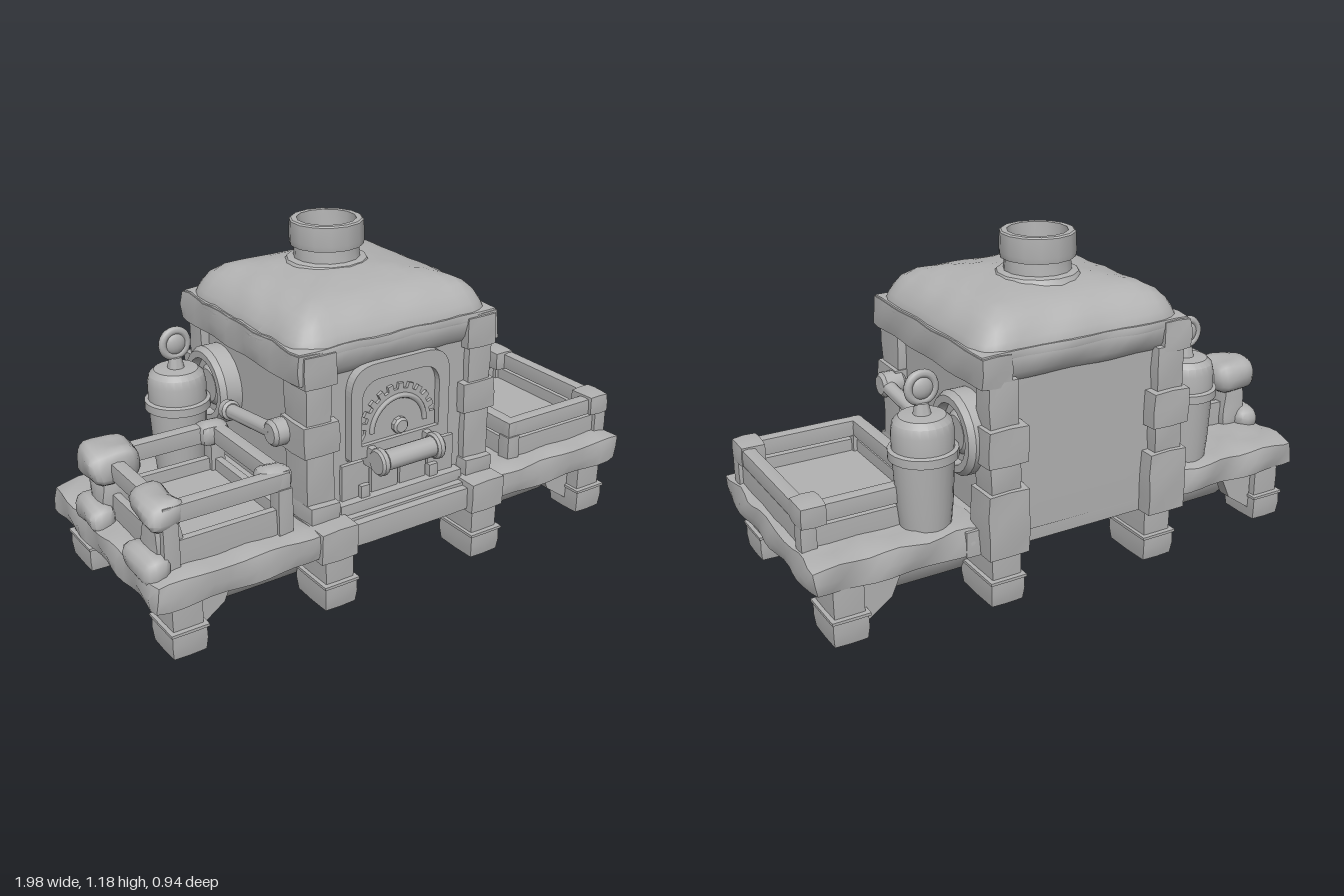
import * as THREE from 'three';
import { mergeVertices, toCreasedNormals } from 'three/addons/utils/BufferGeometryUtils.js';

const stone = new THREE.MeshStandardMaterial({ color: 0xb2b2b2 });
stone.name = 'plain grey';
stone.side = THREE.DoubleSide;

export function createModel() {
  const root = new THREE.Group();
  root.name = 'forge';

  const add = (name, geo, x = 0, y = 0, z = 0) => {
    const m = new THREE.Mesh(geo, stone);
    m.name = name;
    m.position.set(x, y, z);
    root.add(m);
    return m;
  };

  // Rounded, slightly wobbly block given by its limits
  function block(name, x0, x1, y0, y1, z0, z1, r = 0.012, wob = 0, seg = 0.09, shape) {
    const s = [x1 - x0, y1 - y0, z1 - z0];
    const n = s.map(v => Math.max(2, Math.min(18, Math.round(v / seg))));
    let g = new THREE.BoxGeometry(...s, ...n);
    g.deleteAttribute('uv');
    g.deleteAttribute('normal');
    g = mergeVertices(g, 1e-4);
    const p = g.attributes.position, v = new THREE.Vector3(), q = new THREE.Vector3();
    const lim = new THREE.Vector3(...s).multiplyScalar(0.5).subScalar(r).max(new THREE.Vector3());
    const c = [(x0 + x1) / 2, (y0 + y1) / 2, (z0 + z1) / 2];
    for (let i = 0; i < p.count; i++) {
      v.fromBufferAttribute(p, i);
      q.copy(v).clamp(lim.clone().negate(), lim);
      v.sub(q);
      if (v.lengthSq() > 0) v.setLength(r);
      v.add(q);
      const a = v.x + c[0], b = v.y + c[1], d = v.z + c[2];
      v.x += wob * Math.sin(23 * d + 31 * b + 1);
      v.y += wob * Math.sin(29 * a + 1) * Math.cos(33 * d) * (v.y > 0 ? 1 : 0.2);
      v.z += wob * Math.sin(21 * a + 29 * b + 2);
      if (shape) shape(v);
      p.setXYZ(i, v.x, v.y, v.z);
    }
    return add(name, toCreasedNormals(g, 0.75), ...c);
  }

  const lathe = (pts, n = 24) => toCreasedNormals(
    new THREE.LatheGeometry(pts.map(p => new THREE.Vector2(...p)), n), 0.6);
  const plate = (shape, depth) => new THREE.ExtrudeGeometry(shape, { depth, bevelEnabled: false, curveSegments: 10 });
  // Round bar between two points, with slightly rounded ends
  function rod(name, r, a, b, n = 14) {
    const A = new THREE.Vector3(...a), d = new THREE.Vector3(...b).sub(A), l = d.length(), e = Math.min(r, l) * 0.25;
    const m = add(name, lathe([[0, 0], [r - e, 0], [r, e], [r, l - e], [r - e, l], [0, l]], n));
    m.position.copy(A);
    m.quaternion.setFromUnitVectors(new THREE.Vector3(0, 1, 0), d.normalize());
    return m;
  }
  // Limits mirrored to side s
  const side = (s, a, b) => s > 0 ? [a, b] : [-b, -a];

  // Base
  block('baseCore', -0.45, 0.45, 0.2, 0.3, -0.4, 0.4, 0.01);
  block('frontBeam', -0.26, 0.26, 0.2, 0.29, 0.3, 0.43, 0.012);
  block('frontStep', -0.26, 0.26, 0.28, 0.34, 0.3, 0.375, 0.01);

  // Body
  block('bodyCore', -0.35, 0.35, 0.25, 0.9, -0.405, 0.33, 0.005);

  // Triangular gusset beside a leg
  const gusset = new THREE.Shape([[0, 0.21], [0.14, 0.21], [0.1, 0.12], [0, 0.05]].map(p => new THREE.Vector2(...p)));

  for (const s of [1, -1]) {
    // Wing slab with a tub beneath
    block('wingSlab', ...side(s, 0.37, 0.982), 0.2, 0.31, -0.395, 0.445, 0.028, 0.007, 0.05);
    block('underTub', ...side(s, 0.27, 0.8), 0.06, 0.22, -0.27, 0.31, 0.01, 0, 0.2, v => {
      if (v.y < 0) { v.z *= 0.82; if (v.x * s > 0) v.x *= 0.83; }
    });

    for (const f of [1, -1]) {
      // Outer and inner legs with sole bands
      for (const [n, x0, x1, zo] of [['outerLeg', 0.797, 0.92, f > 0 ? 0.41 : 0.38], ['innerLeg', 0.247, 0.373, f > 0 ? 0.445 : 0.425]]) {
        const zi = f > 0 ? 0.27 : 0.22;
        block(n, ...side(s, x0 + 0.005, x1 - 0.005), 0.09, 0.24, ...side(f, zi, zo), 0.01);
        block(n + 'Foot', ...side(s, x0 - 0.002, x1 + 0.005), 0.008, 0.105, ...side(f, zi - 0.003, zo + 0.012), 0.01, 0, 0.09,
          v => { if (v.y < 0) { v.x *= 0.95; v.z *= 0.94; } });
        block(n + 'Band', ...side(s, x0 - 0.006, x1 + 0.008), 0.097, 0.11, ...side(f, zi - 0.008, zo + 0.016), 0.004);
      }
      const gx = add('gussetAcross', plate(gusset, 0.05), s * 0.8, 0, f * 0.33 - 0.025);
      if (s > 0) {
        gx.rotation.y = Math.PI;
        gx.position.z += 0.05;
      }
      const gz = add('gussetAlong', plate(gusset, 0.05), s * 0.85 - 0.025, 0, f * (f > 0 ? 0.28 : 0.23));
      gz.rotation.y = f * Math.PI / 2;
      if (f < 0) gz.position.x += 0.05;
    }

    // Front corner post in stacked blocks
    const fp = [['postFoot', 0.24, 0.39, 0.19, 0.31, 0.27, 0.458], ['postLow', 0.265, 0.385, 0.3, 0.37, 0.215, 0.385],
      ['postMiddle', 0.27, 0.385, 0.36, 0.55, 0.22, 0.36], ['postCollar', 0.255, 0.4, 0.54, 0.66, 0.21, 0.37],
      ['postUpper', 0.28, 0.385, 0.65, 0.8, 0.215, 0.36], ['postHead', 0.265, 0.395, 0.78, 0.9, 0.2, 0.37]];
    for (const [n, x0, x1, ...r] of fp) block(n, ...side(s, x0, x1), ...r, 0.012, 0.002);
    // Back corner post in stacked blocks
    const bp = [['backPostFoot', 0.24, 0.4, 0.2, 0.44, -0.465, -0.33], ['backPostMiddle', 0.265, 0.385, 0.43, 0.55, -0.45, -0.34],
      ['backPostCollar', 0.245, 0.4, 0.53, 0.665, -0.468, -0.33], ['backPostUpper', 0.27, 0.385, 0.65, 0.82, -0.445, -0.35]];
    for (const [n, x0, x1, ...r] of bp) block(n, ...side(s, x0, x1), ...r, 0.012, 0.002);

    // Roof side eaves
    block('roofEave', ...side(s, 0.29, 0.415), 0.79, 0.91, -0.45, 0.365, 0.022, 0.004, 0.06);

    // Round port on the side wall
    const port = add('sidePort', lathe([[0, 0.06], [0.06, 0.06], [0.075, 0.045], [0.1, 0.045], [0.105, 0.08],
      [0.13, 0.08], [0.145, 0.06], [0.145, 0], [0.12, -0.02]]), s * 0.35, 0.595, -0.26);
    port.rotation.z = -s * Math.PI / 2;

    // Side lever
    rod('leverPivot', 0.047, [s * 0.36, 0.605, 0.235], [s * 0.45, 0.605, 0.235], 12);
    rod('leverRod', 0.026, [s * 0.425, 0.605, 0.235], [s * 0.425, 0.568, -0.08]);
    rod('leverGrip', 0.036, [s * 0.425, 0.573, -0.055], [s * 0.425, 0.566, -0.1]);

    // Tank with ring handle
    const tx = s * 0.53, tz = -0.265;
    add('tank', lathe([[0, 0.28], [0.085, 0.28], [0.095, 0.38], [0.103, 0.54], [0.117, 0.545], [0.117, 0.575], [0.104, 0.58],
      [0.104, 0.64], [0.097, 0.67], [0.078, 0.688], [0.03, 0.692], [0.022, 0.73], [0, 0.735]]), tx, 0, tz);
    add('tankRing', new THREE.TorusGeometry(0.047, 0.015, 8, 24), tx, 0.78, tz);
    const ball = add('tankKnob', new THREE.SphereGeometry(0.042, 16, 10), tx, 0.78, tz);
    ball.scale.z = 0.55;
  }

  // Roof
  block('roofEdge', -0.41, 0.41, 0.865, 0.915, -0.44, 0.36, 0.02, 0.004, 0.06);
  block('roofDome', -0.41, 0.41, 0.77, 0.99, -0.44, 0.36, 0.11, 0.003, 0.05, v => {
    if (v.y > 0) {
      const k = 1 - Math.max(Math.abs(v.x), Math.abs(v.z)) ** 2 / 0.17;
      v.y += 0.06 * Math.max(0, k);
      // sides lean inward towards the crown
      const t = 1 - 0.5 * v.y;
      v.x *= t;
      v.z *= t;
    }
  });

  // Chimney
  add('chimney', lathe([[0.16, 1.02], [0.142, 1.05], [0.118, 1.055], [0.114, 1.1], [0.131, 1.1], [0.134, 1.12],
    [0.131, 1.185], [0.125, 1.19], [0.105, 1.19], [0.1, 1.12], [0, 1.1]], 14), -0.005, 0, -0.097);

  // Arched shape shared by door parts
  function arch(S, w, y0, y1, r) {
    const s = new S();
    s.moveTo(-w, y0); s.lineTo(w, y0); s.lineTo(w, y1 - r);
    s.quadraticCurveTo(w, y1, w - r, y1);
    s.lineTo(-w + r, y1);
    s.quadraticCurveTo(-w, y1, -w, y1 - r);
    s.closePath();
    return s;
  }
  add('doorPlate', plate(arch(THREE.Shape, 0.2, 0.48, 0.82, 0.1), 0.02), -0.01, 0, 0.32);
  const frame = arch(THREE.Shape, 0.203, 0.49, 0.82, 0.1);
  frame.holes.push(arch(THREE.Path, 0.16, 0.535, 0.765, 0.08));
  add('doorFrame', plate(frame, 0.04), -0.01, 0, 0.325);

  // Toothed half wheel with hub
  const gear = new THREE.Shape();
  gear.moveTo(0.155, -0.03);
  const teeth = 11;
  for (let i = 0; i < teeth; i++)
    for (const [f, r] of [[0.05, 0.155], [0.5, 0.155], [0.55, 0.135], [1, 0.135]]) {
      const a = (i + f) / teeth * Math.PI;
      gear.lineTo(r * Math.cos(a), r * Math.sin(a));
    }
  gear.lineTo(-0.155, -0.03);
  add('toothedWheel', plate(gear, 0.015), -0.012, 0.567, 0.337);
  add('wheelRim', new THREE.TorusGeometry(0.11, 0.01, 6, 24, Math.PI), -0.012, 0.567, 0.352);
  rod('wheelHub', 0.03, [-0.012, 0.573, 0.33], [-0.012, 0.573, 0.375], 10);

  // Door handle
  rod('handleBar', 0.036, [-0.13, 0.492, 0.42], [0.1, 0.492, 0.42]);
  for (const x of [-0.135, 0.095]) {
    rod('handleEnd', 0.048, [x - 0.016, 0.492, 0.42], [x + 0.016, 0.492, 0.42]);
    block('handleBracket', x - 0.015, x + 0.015, 0.455, 0.53, 0.32, 0.41, 0.006);
  }

  // Lower front boards and small blocks
  for (let i = 0; i < 4; i++) {
    const x = -0.24 + i * 0.12;
    block('frontBoard', x + 0.003, x + 0.117, 0.33, 0.47, 0.31, 0.345, 0.005);
  }
  for (const x of [-0.15, 0.14]) block('ventBlock', x - 0.02, x + 0.02, 0.335, 0.385, 0.33, 0.362, 0.006);

  // Open crate: rails, corner posts, low panels and floor
  function crate(x0, x1, z0, z1, yr, yp) {
    const t = 0.05;
    block('crateFloor', x0 + 0.02, x1 - 0.02, 0.29, yp - 0.045, z0 + 0.02, z1 - 0.02, 0.004);
    for (const [a, b, c, d] of [[x0, x1, z0, z0 + t], [x0, x1, z1 - t, z1], [x0, x0 + t, z0, z1], [x1 - t, x1, z0, z1]]) {
      block('crateRail', a, b, yr, yr + 0.065, c, d, 0.01);
      block('cratePanel', a + 0.01, b - 0.01, 0.29, yp, c + 0.01, d - 0.01, 0.006);
    }
    for (const x of [x0 + t / 2, x1 - t / 2]) for (const z of [z0 + t / 2, z1 - t / 2])
      block('cratePost', x - 0.03, x + 0.03, 0.29, yr + 0.01, z - 0.03, z + 0.03, 0.01);
  }
  crate(0.475, 0.96, -0.26, 0.37, 0.39, 0.38);
  for (const z of [-0.22, 0.325])
    block('crateCorner', 0.868, 0.966, 0.384, 0.466, z - 0.06, z + 0.06, 0.016, 0.002, 0.04);

  crate(-0.91, -0.45, -0.13, 0.375, 0.463, 0.4);
  for (const z of [-0.1, 0.32]) block('crateCorner', -0.545, -0.43, 0.45, 0.535, z - 0.045, z + 0.045, 0.03, 0.003, 0.03);
  // Lumpy stones on the outer corners
  block('cornerStoneBack', -0.975, -0.79, 0.44, 0.565, -0.175, 0.01, 0.05, 0.006, 0.03);
  block('cornerStoneFront', -0.95, -0.82, 0.44, 0.54, 0.18, 0.385, 0.045, 0.006, 0.03);
  for (const z of [-0.09, 0.3]) {
    block('cornerPillar', -0.935, -0.83, 0.29, 0.46, z - 0.06, z + 0.06, 0.025, 0.004, 0.04);
    block('edgeStone', -0.985, -0.89, 0.27, 0.37, z - 0.1, z + 0.1, 0.04, 0.005, 0.03);
  }
  return root;
}
